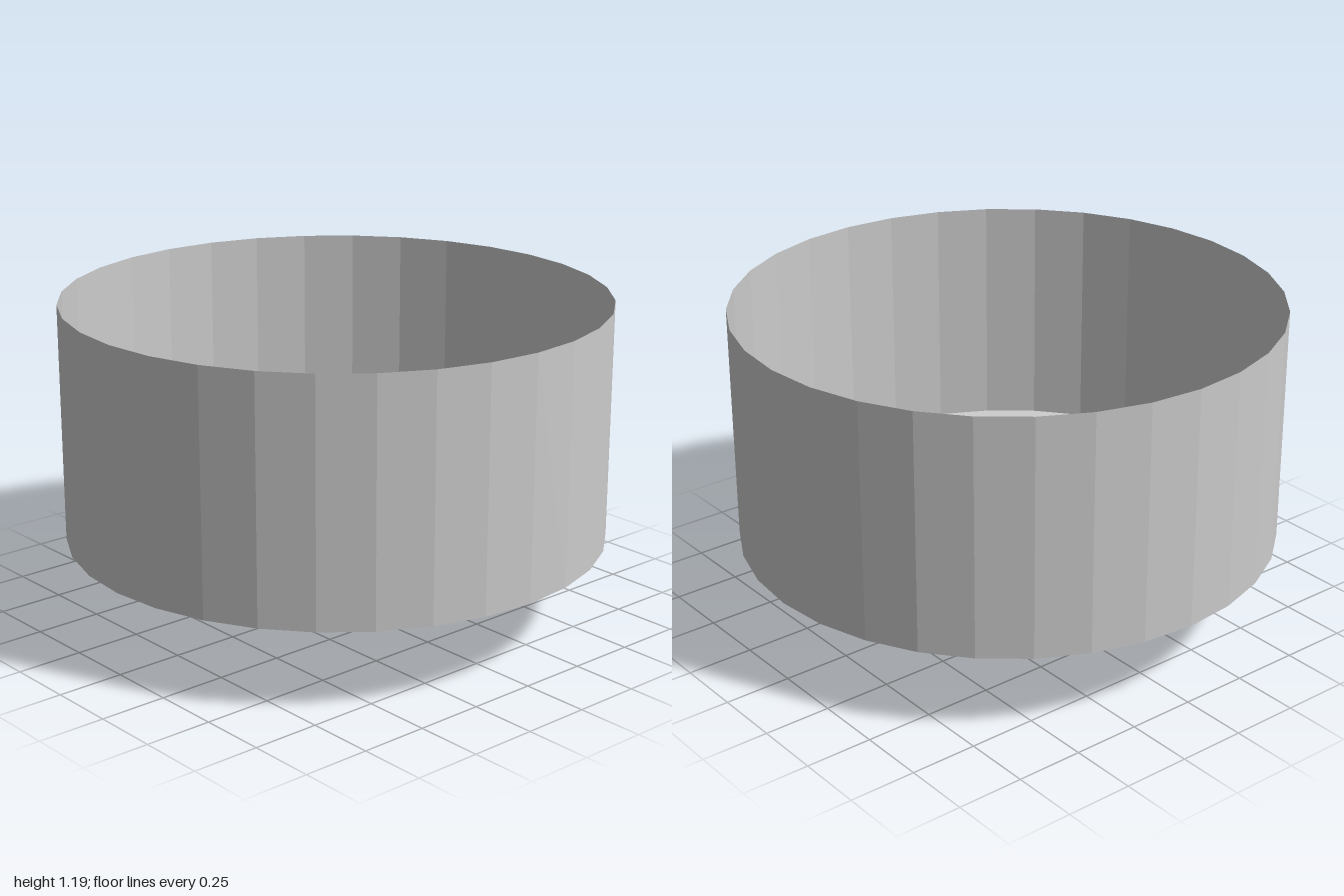
import * as THREE from 'three';

const SIDES = 32;
const FLOOR_Y = 0.306;
const TOP_Y = 1.19;

export function createModel() {
  const model = new THREE.Group();
  model.name = 'steppedBowl';
  const material = new THREE.MeshStandardMaterial({
    color: 0xcccccc, flatShading: true, side: THREE.DoubleSide,
  });

  const addLathe = (name, points) => {
    const mesh = new THREE.Mesh(new THREE.LatheGeometry(points, SIDES), material);
    mesh.name = name;
    model.add(mesh);
  };

  // open upright wall
  addLathe('wall', [new THREE.Vector2(1, FLOOR_Y), new THREE.Vector2(1, TOP_Y)]);

  // conical floor: each step is a steep riser [inner radius, outer radius] and a nearly flat tread
  const risers = [
    [0.045, 0.09], [0.132, 0.172], [0.214, 0.257], [0.303, 0.352], [0.4, 0.453],
    [0.507, 0.563], [0.617, 0.676], [0.736, 0.797], [0.86, 0.923],
  ];
  const stepHeight = 0.0332;
  const profile = [new THREE.Vector2(0, 0)];
  risers.forEach(([inner, outer], i) => {
    profile.push(new THREE.Vector2(inner, i * stepHeight + 0.005));
    profile.push(new THREE.Vector2(outer, (i + 1) * stepHeight));
  });
  profile.push(new THREE.Vector2(1, FLOOR_Y));
  addLathe('steppedFloor', profile);

  return model;
}
